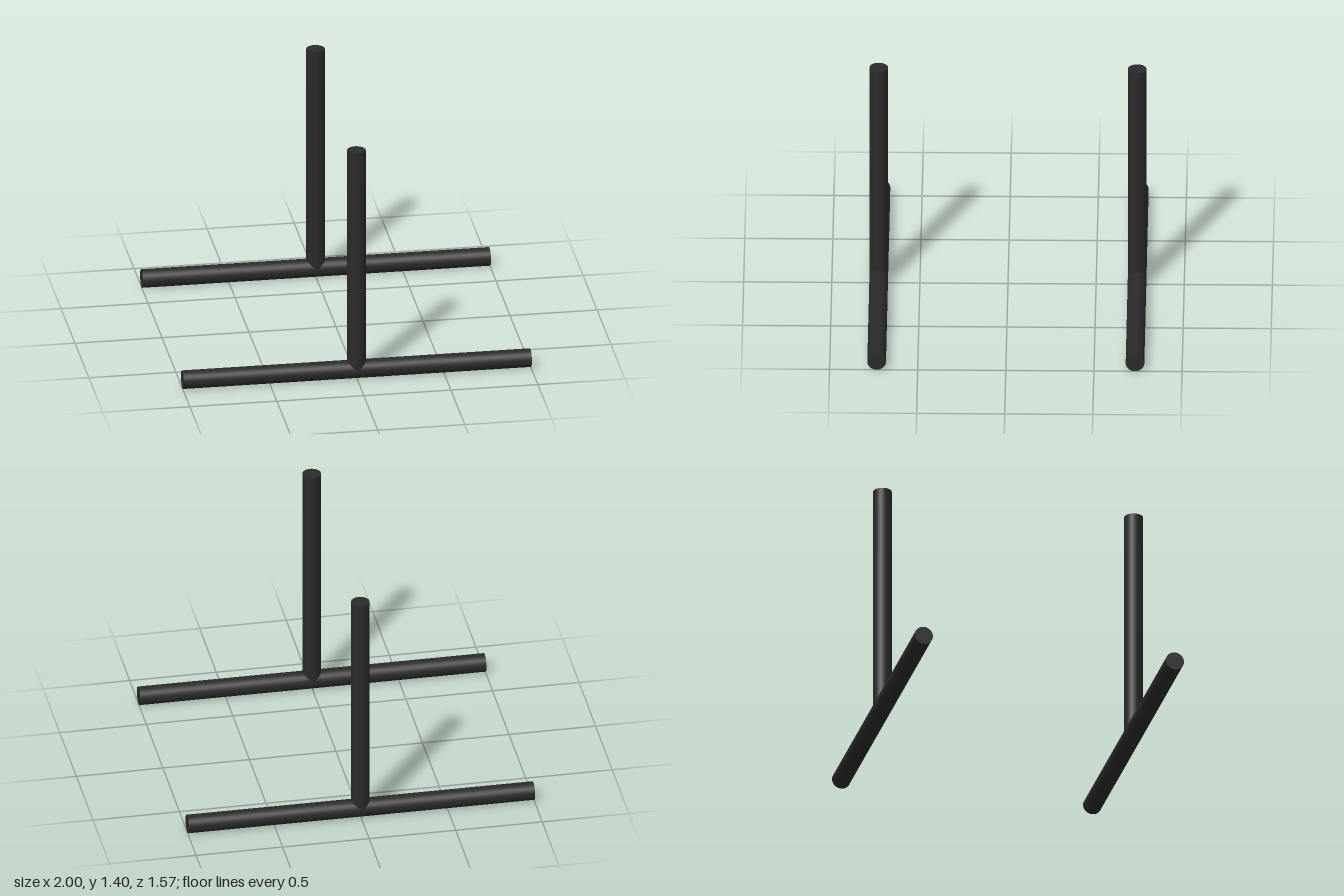
import * as THREE from 'three';

const RADIUS = 0.053;
const HEIGHT = 1.405;
const SPREAD = 0.733;

export function createModel() {
  const model = new THREE.Group();
  model.name = 'standLegs';

  const black = new THREE.MeshStandardMaterial({ color: 0x2a2a2a });
  black.name = 'matte black';

  // Floor bar along x, and a post rising from its axis
  const barGeometry = new THREE.CylinderGeometry(RADIUS, RADIUS, 2, 32).rotateZ(Math.PI / 2);
  const postLength = HEIGHT - RADIUS;
  const postGeometry = new THREE.CylinderGeometry(RADIUS, RADIUS, postLength, 32);

  // One T-shaped support at the front and one at the back
  for (const [name, side] of [['front', 1], ['back', -1]]) {
    const support = new THREE.Group();
    support.name = name + 'Support';
    support.position.z = side * SPREAD;

    const bar = new THREE.Mesh(barGeometry, black);
    bar.name = name + 'FloorBar';
    bar.position.y = RADIUS;

    const post = new THREE.Mesh(postGeometry, black);
    post.name = name + 'Post';
    post.position.y = RADIUS + postLength / 2;

    support.add(bar, post);
    model.add(support);
  }
  return model;
}
